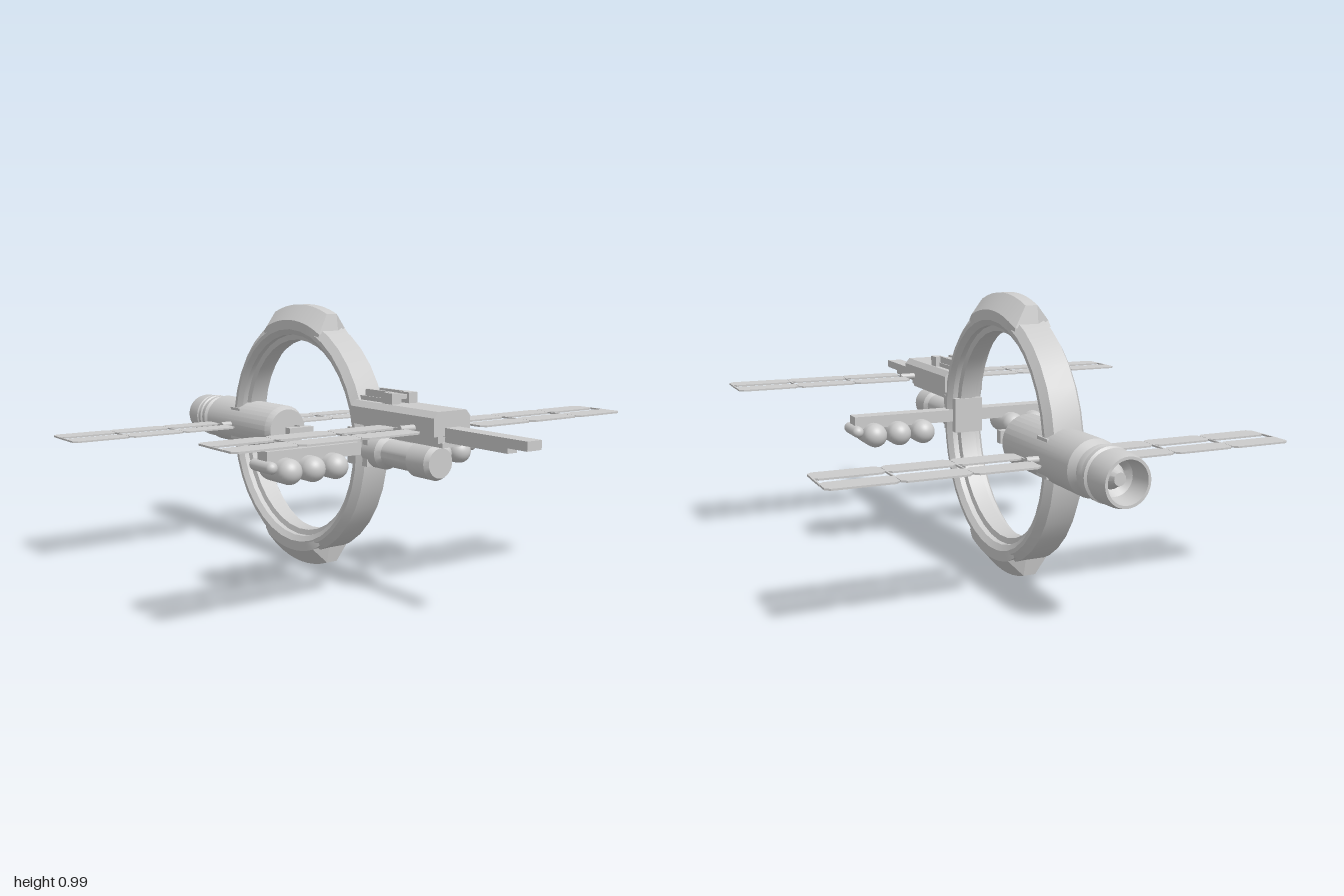
import * as THREE from 'three';
import { toCreasedNormals } from 'three/addons/utils/BufferGeometryUtils.js';

const mat = new THREE.MeshStandardMaterial({ color: 0xcccccc });
const V = (pts) => pts.map(([x, y]) => new THREE.Vector2(x, y));

export function createModel() {
  const model = new THREE.Group();
  const add = (name, geo, x = 0, y = 0, z = 0, parent = model) => {
    const m = new THREE.Mesh(geo, mat);
    m.name = name;
    m.position.set(x, y, z);
    parent.add(m);
    return m;
  };
  // Box given by its extents
  const box = (name, x0, x1, y0, y1, z0, z1, parent = model) =>
    add(name, new THREE.BoxGeometry(x1 - x0, y1 - y0, z1 - z0),
      (x0 + x1) / 2, (y0 + y1) / 2, (z0 + z1) / 2, parent);
  // Turned body along z, profile as [radius, z] from back to front
  const turned = (name, pts, y) =>
    add(name, toCreasedNormals(new THREE.LatheGeometry(V(pts), 32).rotateX(Math.PI / 2), 0.5), 0, y, 0);
  // Convex outline in (x, y) extruded along z
  const prism = (name, pts, z0, z1) =>
    add(name, new THREE.ExtrudeGeometry(new THREE.Shape(V(pts)), { depth: z1 - z0, bevelEnabled: false }), 0, 0, z0);

  // Habitat ring with bevelled rim and inner rail
  const ringProfile = [
    [0.365, -0.03], [0.385, -0.035], [0.385, -0.055], [0.405, -0.07], [0.42, -0.07], [0.447, -0.05],
    [0.447, 0.05], [0.42, 0.07], [0.405, 0.07], [0.385, 0.055], [0.385, 0.035], [0.365, 0.03], [0.365, -0.03],
  ];
  add('ring', toCreasedNormals(
    new THREE.LatheGeometry(V(ringProfile), 36).rotateZ(-Math.PI / 2), 0.4), 0, 0.5, -0.2);

  // Raised segments at top and bottom of the ring, tapering into the rim at both ends
  const padProfile = [[0.41, -0.073], [0.44, -0.073], [0.497, -0.022], [0.497, 0.022], [0.44, 0.073], [0.41, 0.073]];
  for (const side of [-1, 1]) {
    const span = 0.9, segs = 10;
    const geo = new THREE.LatheGeometry(V(padProfile), segs, side * Math.PI / 2 - span / 2, span);
    const p = geo.attributes.position, n = padProfile.length;
    for (let i = 0; i < p.count; i++) {
      const col = Math.floor(i / n);
      if (col > 0 && col < segs) continue;
      const k = Math.min(1, 0.435 / padProfile[i % n][0]);
      p.setXYZ(i, p.getX(i) * k, p.getY(i) * 0.9, p.getZ(i) * k);
    }
    add(side < 0 ? 'topRingSegment' : 'bottomRingSegment',
      toCreasedNormals(geo.rotateZ(-Math.PI / 2), 0.4), 0, 0.5, -0.2);
  }

  // Rear module with ribbed collar and recessed nozzle
  turned('rearModule', [
    [0, -0.955], [0.02, -0.955], [0.028, -0.93], [0.04, -0.91], [0.058, -0.93], [0.068, -1],
    [0.077, -1], [0.083, -0.975], [0.085, -0.915], [0.08, -0.91], [0.08, -0.902], [0.088, -0.897],
    [0.088, -0.88], [0.082, -0.875], [0.085, -0.868], [0.085, -0.85], [0.076, -0.84],
    [0.076, -0.83], [0.093, -0.805], [0.093, -0.35], [0.08, -0.325], [0, -0.325],
  ], 0.505);
  box('dockingArm', -0.03, 0.03, 0.487, 0.522, -0.25, -0.32);
  box('dockingHead', -0.055, 0.055, 0.48, 0.525, -0.255, -0.225);
  for (const s of [-1, 1]) box('ringClamp', s * 0.05 - 0.025, s * 0.05 + 0.025, 0.44, 0.57, -0.64, -0.57);

  // Forward hull: stacked plates with a recessed waist and a long boom
  prism('hullTop', [[-0.077, 0.595], [0.077, 0.595], [0.077, 0.655], [0.06, 0.675], [-0.06, 0.675], [-0.077, 0.655]], 0.2, 0.64);
  box('hullWaist', -0.05, 0.05, 0.57, 0.6, 0.2, 0.63);
  box('hullKeel', -0.04, 0.04, 0.557, 0.573, 0.2, 0.64);
  box('boom', -0.03, 0.03, 0.592, 0.622, 0.6, 1);
  box('boomRail', -0.02, 0.02, 0.573, 0.593, 0.6, 0.91);

  // Equipment on the hull roof
  box('roofDeck', -0.04, 0.04, 0.672, 0.69, 0.2, 0.36);
  box('roofSpine', -0.018, 0.018, 0.69, 0.705, 0.22, 0.39);
  for (const s of [-1, 1]) {
    box('roofPod', s * 0.037 - 0.018, s * 0.037 + 0.018, 0.672, 0.712, 0.35, 0.4);
    box('roofRail', s * 0.03 - 0.006, s * 0.03 + 0.006, 0.69, 0.714, 0.23, 0.36);
  }

  // Forward module slung below the hull
  turned('forwardModule', [
    [0, 0.2], [0.045, 0.2], [0.06, 0.225], [0.06, 0.31], [0.047, 0.33], [0.047, 0.465],
    [0.06, 0.48], [0.06, 0.57], [0.05, 0.587], [0, 0.587],
  ], 0.497);
  box('ringMount', -0.055, 0.055, 0.445, 0.575, 0.15, 0.265);

  // Cross beam with fuel tanks
  box('crossBeam', -0.445, 0.445, 0.485, 0.53, 0.175, 0.235);
  const tank = new THREE.CapsuleGeometry(0.044, 0.108, 10, 24).rotateX(Math.PI / 2);
  const endTank = new THREE.CapsuleGeometry(0.021, 0.1, 6, 16).rotateX(Math.PI / 2);
  for (const s of [-1, 1]) {
    for (const x of [0.187, 0.281, 0.375]) add('tank', tank, s * x, 0.461, 0.207);
    add('endTank', endTank, s * 0.44, 0.478, 0.205);
  }

  // Solar wings: three pairs of chamfered panels per side, joined by thin spars
  const w = 0.226, d = 0.086, c = 0.016, a = w / 2, b = d / 2;
  const panel = new THREE.ExtrudeGeometry(new THREE.Shape(V([
    [-a + c, -b], [a - c, -b], [a, -b + c], [a, b - c], [a - c, b], [-a + c, b], [-a, b - c], [-a, -b + c],
  ])), { depth: 0.006, bevelEnabled: false }).rotateX(Math.PI / 2).translate(0, 0.003, 0);
  const wing = (name, s, y, z, root) => {
    const g = new THREE.Group();
    g.name = name;
    g.position.set(0, y, z);
    model.add(g);
    for (let i = 0; i < 3; i++)
      for (const k of [-1, 1]) add('solarPanel', panel, s * (0.127 + 0.2277 * (i + 0.5)), 0, k * 0.065, g);
    for (let i = 0; i < 4; i++) {
      const x = s * (0.13 + 0.2257 * i);
      box('spar', x - 0.003, x + 0.003, -0.003, 0.003, -0.05, 0.05, g);
    }
    const axle = new THREE.CylinderGeometry(0.012, 0.012, 0.135 - root, 12).rotateZ(Math.PI / 2);
    add('axle', axle, s * (0.135 + root) / 2, 0, 0, g);
  };
  for (const s of [-1, 1]) {
    const side = s > 0 ? 'left' : 'right';
    wing(side + 'FrontWing', s, 0.614, 0.54, 0.05);
    wing(side + 'RearWing', s, 0.502, -0.613, 0.07);
  }
  return model;
}
